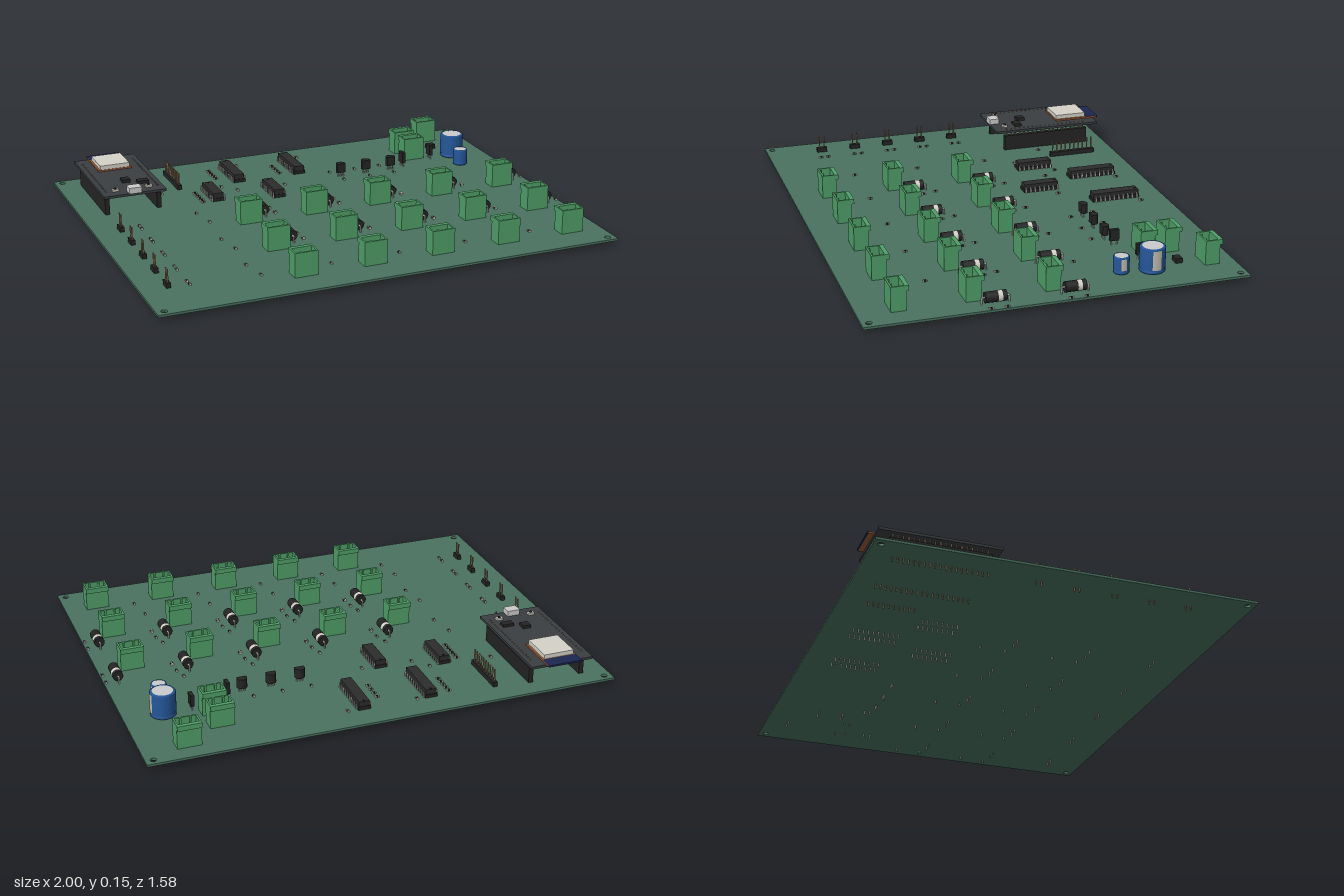
import * as THREE from 'three';

const TOP = 0.033; // upper face of the main board
const mats = {};
const mat = (c) => (mats[c] ??= new THREE.MeshStandardMaterial({ color: c }));
const GREEN = 0x4f9f68, BLACK = 0x242424, METAL = 0xb8b8b4, GOLD = 0x8f7a5c, WHITE = 0xd4d2c8, BLUE = 0x24579a;

function add(parent, name, geo, color, x = 0, y = 0, z = 0) {
  const m = new THREE.Mesh(geo, mat(color));
  m.name = name;
  m.position.set(x, y, z);
  parent.add(m);
  return m;
}
// Box placed by its centre in x and z and its bottom in y
const box = (p, name, w, h, d, x, y, z, color) =>
  add(p, name, new THREE.BoxGeometry(w, h, d), color, x, y + h / 2, z);
const cyl = (p, name, r, h, x, y, z, color, n = 24) =>
  add(p, name, new THREE.CylinderGeometry(r, r, h, n), color, x, y + h / 2, z);
const pin = (p, x, z, y0, y1, color = METAL) => box(p, 'pin', 0.005, y1 - y0, 0.005, x, y0, z, color);

function group(parent, name, x, z) {
  const g = new THREE.Group();
  g.name = name;
  g.position.set(x, 0, z);
  parent.add(g);
  return g;
}
// Flat outline in x/z, with holes, raised by h
function plate(shape, h) {
  const g = new THREE.ExtrudeGeometry(shape, { depth: h, bevelEnabled: false, curveSegments: 16 });
  return g.rotateX(-Math.PI / 2);
}
function rect(w, d, cz = 0, Type = THREE.Shape) {
  return new Type([[-1, -1], [1, -1], [1, 1], [-1, 1]].map(([a, b]) => new THREE.Vector2(a * w / 2, -cz + b * d / 2)));
}

// Open-topped two-pole socket with an overhanging latch lip at the back
function terminal(root, x, z) {
  const g = group(root, 'terminalSocket', x, z);
  box(g, 'socketFloor', 0.1, 0.025, 0.062, 0, TOP, 0.004, GREEN);
  const wall = rect(0.1, 0.062, 0.004);
  wall.holes.push(rect(0.086, 0.048, 0.004, THREE.Path));
  add(g, 'socketWalls', plate(wall, 0.079), GREEN, 0, 0.058, 0);
  box(g, 'latchLip', 0.1, 0.022, 0.011, 0, 0.115, -0.0325, GREEN);
  for (const s of [-1, 1]) {
    pin(g, s * 0.021, 0, 0.008, 0.105);
    box(g, 'guideRib', 0.008, 0.079, 0.008, s * 0.021, 0.058, 0.025, GREEN);
  }
}

// Axial diode lying along z with bent leads
function diode(root, x, z) {
  const g = group(root, 'diode', x, z);
  const barrel = (name, r, len, c, dz) => add(g, name, new THREE.CylinderGeometry(r, r, len, 20).rotateX(Math.PI / 2), c, 0, 0.06, dz);
  barrel('diodeBody', 0.022, 0.086, BLACK, 0);
  barrel('cathodeBand', 0.0225, 0.018, WHITE, -0.016);
  barrel('lead', 0.004, 0.116, METAL, 0);
  for (const s of [-1, 1]) cyl(g, 'leadLeg', 0.004, 0.052, 0, 0.01, s * 0.056, METAL, 8);
}

// Dual in-line chip in its socket, pins along z
function chip(root, x, z, len, n) {
  const g = group(root, 'chip', x, z);
  box(g, 'chipSocket', 0.054, 0.014, len, 0, TOP, 0, BLACK);
  box(g, 'chipBody', 0.046, 0.022, len - 0.006, 0, 0.047, 0, 0x2c2c2c);
  cyl(g, 'chipMark', 0.006, 0.0006, 0, 0.069, -len / 2 + 0.012, 0x111111, 12);
  for (let i = 0; i < n; i++) {
    const pz = (i - (n - 1) / 2) * 0.0212;
    for (const s of [-1, 1]) {
      pin(g, s * 0.029, pz, 0.004, 0.058);
    }
  }
}

// Single-row pin header along z
function header(root, x, z, n, pitch = 0.0212) {
  const g = group(root, 'pinHeader', x, z);
  box(g, 'headerBase', 0.019, 0.021, n * pitch + 0.004, 0, TOP, 0, BLACK);
  for (let i = 0; i < n; i++) pin(g, 0, (i - (n - 1) / 2) * pitch, 0.005, 0.108, GOLD);
}

function capacitor(root, x, z, r, top) {
  const g = group(root, 'capacitor', x, z);
  const h = top - TOP;
  const profile = [[0, 0], [r * 0.92, 0], [r, 0.004], [r, 0.012], [r * 0.94, 0.015], [r, 0.018], [r, h - 0.004], [r * 0.93, h], [r * 0.8, h]];
  const sleeve = add(g, 'sleeve', new THREE.LatheGeometry(profile.map((p) => new THREE.Vector2(...p)), 32), BLUE, 0, TOP, 0);
  sleeve.material = sleeve.material.clone();
  sleeve.material.side = THREE.DoubleSide;
  cyl(g, 'metalTop', r * 0.84, 0.003, 0, top - 0.004, 0, 0xc4c4c4, 32);
  const stripe = new THREE.CylinderGeometry(r * 1.01, r * 1.01, h - 0.024, 8, 1, true, Math.PI / 2 - 0.35, 0.7);
  add(g, 'polarityStripe', stripe, 0xc0bba8, 0, TOP + 0.018 + (h - 0.024) / 2, 0);
  for (const s of [-1, 1]) pin(g, 0, s * r * 0.45, 0.005, TOP);
}

// Small three-legged transistor with a flat face toward +z
function transistor(root, x, z, turn = 0) {
  const g = group(root, 'transistor', x, z);
  const s = new THREE.Shape();
  s.absarc(0, 0, 0.022, -0.5, Math.PI + 0.5, false);
  s.closePath();
  add(g, 'transistorBody', plate(s, 0.042), BLACK, 0, 0.053, 0);
  for (const i of [-1, 0, 1]) pin(g, i * 0.012, 0, 0.005, 0.053);
  g.rotation.y = turn;
}

// Surface-mount part with metal end caps
function smd(root, x, z, alongX = false) {
  const g = group(root, 'surfacePart', x, z);
  box(g, 'partBody', 0.009, 0.007, 0.01, 0, TOP, 0, BLACK);
  for (const s of [-1, 1]) box(g, 'partCap', 0.009, 0.0075, 0.004, 0, TOP, s * 0.007, WHITE);
  if (alongX) g.rotation.y = Math.PI / 2;
}

// Plug-in controller board raised on two long sockets
function controller(root) {
  const g = group(root, 'controllerModule', -0.77, 0);
  box(g, 'controllerBoard', 0.278, 0.011, 0.5, 0, 0.121, -0.503, 0x3a3e42);
  for (const s of [-1, 1]) {
    box(g, 'longSocket', 0.02, 0.07, 0.41, s * 0.116, TOP, -0.5, BLACK);
    for (let i = 0; i < 19; i++) pin(g, s * 0.116, -0.69 + i * 0.0212, 0.004, 0.135, GOLD);
  }
  box(g, 'radioBoard', 0.152, 0.007, 0.205, 0, 0.132, -0.672, 0x9a5a35);
  box(g, 'antennaArea', 0.15, 0.008, 0.056, 0, 0.132, -0.751, 0x1c2750);
  box(g, 'radioShield', 0.134, 0.019, 0.145, 0, 0.139, -0.645, WHITE);
  box(g, 'usbConnector', 0.056, 0.024, 0.046, 0, 0.132, -0.275, 0xc4c4c4);
  box(g, 'regulatorChip', 0.036, 0.014, 0.038, 0, 0.132, -0.41, BLACK);
  box(g, 'serialChip', 0.05, 0.012, 0.032, 0.067, 0.132, -0.372, BLACK);
  for (const s of [-1, 1]) {
    box(g, 'buttonBase', 0.028, 0.009, 0.02, s * 0.075, 0.132, -0.31, WHITE);
    cyl(g, 'buttonCap', 0.006, 0.004, s * 0.075, 0.141, -0.31, BLACK, 12);
  }
}

export function createModel() {
  const root = new THREE.Group();
  root.name = 'circuitBoard';

  // Main board with four mounting holes
  const outline = rect(2, 1.576);
  for (const sx of [-1, 1]) for (const sz of [-1, 1]) {
    outline.holes.push(new THREE.Path().absarc(sx * 0.967, sz * 0.758, 0.013, 0, Math.PI * 2, true));
  }
  add(root, 'mainBoard', plate(outline, 0.01), 0x4a7260, 0, 0.023, 0);

  controller(root);

  // Output channels: five columns in three rows
  for (let c = 0; c < 5; c++) {
    const x = -0.348 + c * 0.301;
    [0.004, 0.327, 0.623].forEach((z, row) => {
      terminal(root, x, z);
      smd(root, x - 0.182, z - 0.162);
      smd(root, x - 0.162, z - 0.045);
      if (row < 2) {
        diode(root, x + 0.084, z - 0.072);
        smd(root, x + 0.134, z - 0.105);
        smd(root, x + 0.134, z - 0.04);
      }
    });
    // Two-pin headers down the left edge
    const hz = -0.1 + c * 0.159;
    header(root, -0.885, hz, 2);
    smd(root, -0.8, hz - 0.012);
    smd(root, -0.8, hz + 0.022);
  }

  // Supply terminals
  for (const [x, z] of [[0.81, -0.688], [0.645, -0.583], [0.645, -0.476]]) terminal(root, x, z);

  // Chips and the long header
  for (const [x, z, len, n] of [[-0.22, -0.57, 0.216, 10], [0.072, -0.57, 0.216, 10], [-0.388, -0.35, 0.162, 8], [-0.123, -0.291, 0.162, 8]]) chip(root, x, z, len, n);
  header(root, -0.502, -0.58, 10);

  // Supply capacitors, transistors and regulator
  capacitor(root, 0.837, -0.432, 0.053, 0.14);
  capacitor(root, 0.82, -0.307, 0.033, 0.106);
  for (const x of [0.235, 0.36, 0.485]) transistor(root, x, -0.36);
  box(root, 'regulator', 0.04, 0.02, 0.03, 0.79, TOP, -0.562, BLACK);
  for (const [x, z] of [[0.555, -0.38], [0.72, -0.43]]) {
    box(root, 'uprightPart', 0.016, 0.05, 0.04, x, 0.052, z, BLACK);
    for (const s of [-1, 1]) pin(root, x, z + s * 0.012, 0.006, 0.052);
  }

  // Surface-mount resistor rows and decoupling parts
  for (const [x, z, n, step] of [[-0.307, -0.652, 5, 0.027], [-0.013, -0.6, 4, 0.033], [-0.457, -0.4, 6, 0.024]]) {
    for (let i = 0; i < n; i++) smd(root, x, z + i * step, true);
  }
  for (const [x, z] of [[-0.16, -0.67], [0.14, -0.67], [-0.045, -0.35], [-0.265, -0.365], [-0.32, -0.43], [-0.595, -0.445],
    [0.205, -0.42], [0.33, -0.42], [0.455, -0.42], [0.23, -0.31], [0.36, -0.31], [0.48, -0.31]]) smd(root, x, z);

  return root;
}
